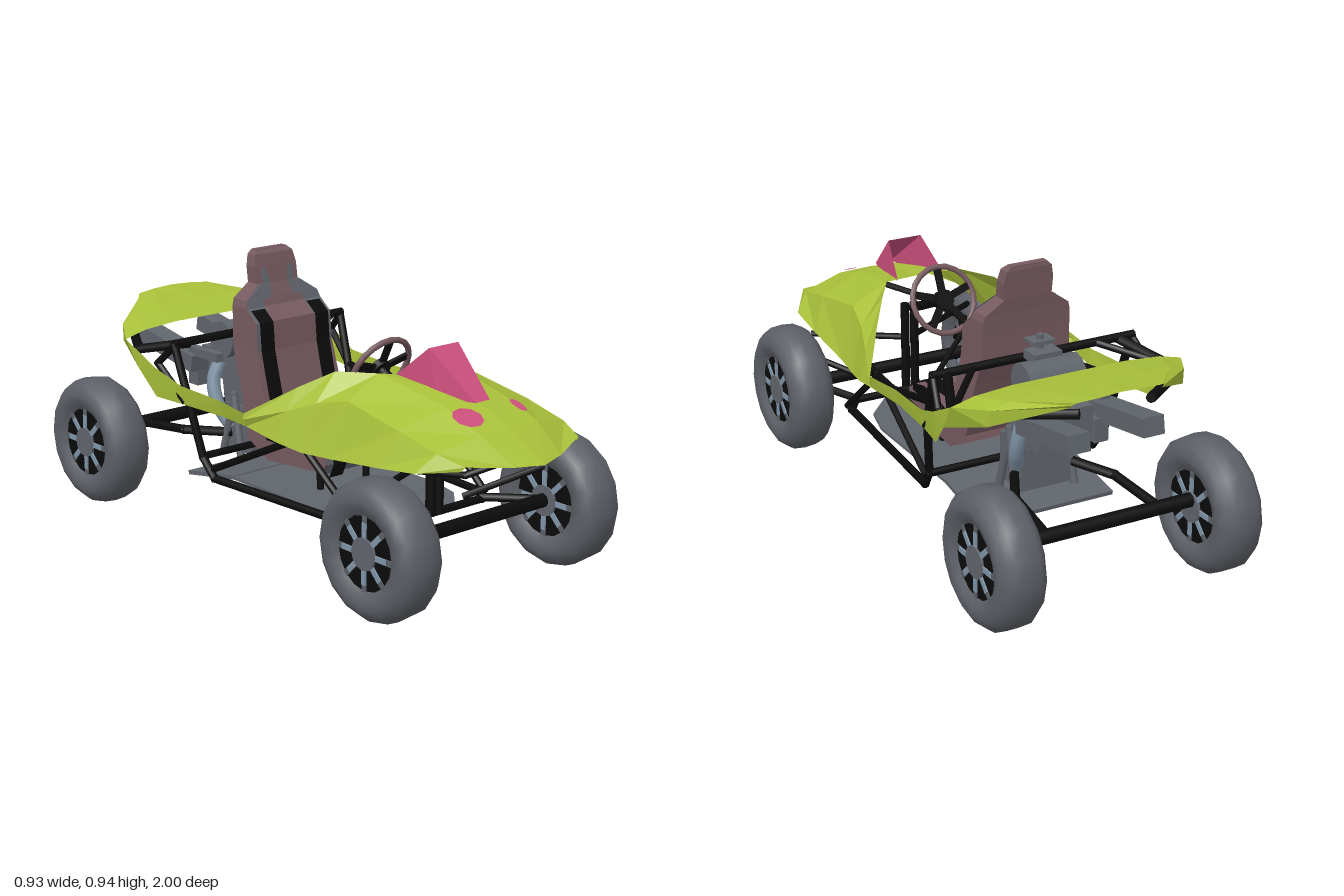
import * as THREE from 'three';

const mat = (name, color, side = THREE.FrontSide) => {
  const m = new THREE.MeshStandardMaterial({ color, side });
  m.name = name;
  return m;
};

export function createModel() {
  const lime = mat('limeBodywork', 0xa9c03a, THREE.DoubleSide);
  const pink = mat('pinkAccent', 0xcb4f7c, THREE.DoubleSide);
  const tyre = mat('tyreGrey', 0x5c5f66);
  const metal = mat('metalGrey', 0x60656c, THREE.DoubleSide);
  const black = mat('frameBlack', 0x0b0b0c, THREE.DoubleSide);
  const rose = mat('seatRose', 0x765a5f, THREE.DoubleSide);
  const steel = mat('blueSteel', 0x8095a8);

  const car = new THREE.Group();
  car.name = 'buggy';

  const add = (name, geo, material, pos = [0, 0, 0], rot = [0, 0, 0], parent = car) => {
    const m = new THREE.Mesh(geo, material);
    m.name = name;
    m.position.set(...pos);
    m.rotation.set(...rot);
    parent.add(m);
    return m;
  };
  const box = (name, size, material, pos, rot, parent) =>
    add(name, new THREE.BoxGeometry(...size), material, pos, rot, parent);

  // Faceted sheet through rows of points, with an optional mirrored twin
  const panel = (name, rows, material, mirror = true) => {
    for (const s of mirror ? [1, -1] : [1]) {
      const v = [];
      for (let i = 0; i < rows.length - 1; i++) {
        for (let j = 0; j < rows[i].length - 1; j++) {
          const [a, b, c, d] = [rows[i][j], rows[i + 1][j], rows[i + 1][j + 1], rows[i][j + 1]];
          for (const p of s > 0 ? [a, b, c, a, c, d] : [a, c, b, a, d, c]) v.push(p[0] * s, p[1], p[2]);
        }
      }
      const g = new THREE.BufferGeometry();
      g.setAttribute('position', new THREE.Float32BufferAttribute(v, 3));
      g.computeVertexNormals();
      add(name, g, material);
    }
  };

  // Straight tubes through a list of points, with an optional mirrored twin
  const tubes = (name, pts, r = 0.014, mirror = true, material = black) => {
    for (const s of mirror ? [1, -1] : [1]) {
      for (let i = 0; i < pts.length - 1; i++) {
        const [a, b] = [pts[i], pts[i + 1]].map(p => new THREE.Vector3(p[0] * s, p[1], p[2]));
        const d = b.clone().sub(a);
        const m = add(name, new THREE.CylinderGeometry(r, r, d.length() + r, 8), material);
        m.position.copy(a).add(b).multiplyScalar(0.5);
        m.quaternion.setFromUnitVectors(new THREE.Vector3(0, 1, 0), d.normalize());
      }
    }
  };

  // Front hood: centre line to lower edge, nose to cockpit
  panel('frontHood', [
    [[0, 0.48, 1], [0.1, 0.485, 0.97], [0.24, 0.5, 0.91], [0.245, 0.485, 0.9]],
    [[0, 0.56, 0.86], [0.12, 0.56, 0.85], [0.27, 0.525, 0.82], [0.32, 0.465, 0.78]],
    [[0, 0.62, 0.7], [0.12, 0.612, 0.7], [0.275, 0.56, 0.66], [0.325, 0.445, 0.62]],
    [[0, 0.645, 0.48], [0.14, 0.665, 0.42], [0.27, 0.6, 0.42], [0.325, 0.42, 0.4]],
  ], lime);
  panel('hoodSide', [
    [[0.14, 0.665, 0.42], [0.27, 0.6, 0.42], [0.325, 0.42, 0.4]],
    [[0.215, 0.66, 0.3], [0.295, 0.57, 0.3], [0.34, 0.415, 0.28]],
    [[0.285, 0.6, 0.2], [0.33, 0.53, 0.2], [0.36, 0.43, 0.18]],
    [[0.385, 0.5, 0.05], [0.388, 0.48, 0.05], [0.375, 0.455, 0.05]],
  ], lime);

  // Side band and rear cowl
  panel('sideBand', [
    [[0.385, 0.5, 0.05], [0.375, 0.455, 0.05]],
    [[0.365, 0.505, -0.1], [0.355, 0.45, -0.1]],
    [[0.375, 0.515, -0.3], [0.367, 0.45, -0.3]],
    [[0.397, 0.56, -0.42], [0.388, 0.455, -0.42]],
    [[0.41, 0.63, -0.56], [0.402, 0.54, -0.5]],
  ], lime);
  panel('rearCowl', [
    [[0, 0.66, -0.56], [0.2, 0.66, -0.56], [0.33, 0.65, -0.56], [0.41, 0.63, -0.56], [0.402, 0.54, -0.5]],
    [[0, 0.685, -0.7], [0.17, 0.685, -0.7], [0.28, 0.672, -0.69], [0.34, 0.65, -0.68], [0.345, 0.595, -0.67]],
    [[0, 0.71, -0.86], [0.08, 0.706, -0.86], [0.15, 0.7, -0.85], [0.157, 0.69, -0.84], [0.157, 0.68, -0.83]],
  ], lime);

  // Pink scoop, open at the back, and two painted spots
  panel('scoopFront', [
    [[-0.062, 0.76, 0.56], [0.062, 0.76, 0.56]],
    [[-0.03, 0.618, 0.735], [0.03, 0.618, 0.735]],
  ], pink, false);
  panel('scoopSide', [
    [[0.062, 0.76, 0.56], [0.03, 0.618, 0.735]],
    [[0.088, 0.655, 0.44], [0.065, 0.61, 0.6]],
  ], pink);
  for (const [x, r, k] of [[-0.103, 0.05, 1], [0.11, 0.036, 0.5]]) {
    const spot = add('paintSpot', new THREE.CircleGeometry(r, 9), pink, [x, 0.596, 0.778]);
    spot.quaternion.setFromUnitVectors(new THREE.Vector3(0, 0, 1),
      new THREE.Vector3(0.06 * Math.sign(x), 1, 0.36).normalize());
    spot.scale.x = k;
  }

  // Seat back lofted from rectangles: [y, front z, back z, half width]
  const back = [[0.33, -0.09, -0.2, 0.17], [0.38, -0.096, -0.22, 0.17], [0.46, -0.118, -0.235, 0.168],
    [0.54, -0.14, -0.262, 0.165], [0.62, -0.16, -0.292, 0.16], [0.715, -0.168, -0.295, 0.158],
    [0.755, -0.222, -0.298, 0.157], [0.78, -0.23, -0.3, 0.15], [0.825, -0.25, -0.305, 0.085],
    [0.88, -0.262, -0.308, 0.088], [0.92, -0.272, -0.312, 0.08], [0.934, -0.285, -0.31, 0.065]];
  panel('seatBack', back.map(([y, f, b, w]) =>
    [[-w, y, b], [-w, y, f], [w, y, f], [w, y, b], [-w, y, b]]), rose, false);
  box('headrestTop', [0.13, 0.004, 0.026], rose, [0, 0.933, -0.2975]);

  // Seat cushion, extruded across the car from its side profile
  const side = new THREE.Shape([[0.2, 0.32], [0.19, 0.37], [0.14, 0.4], [0, 0.4], [-0.1, 0.385], [-0.2, 0.37],
    [-0.21, 0.32], [-0.1, 0.265], [0.1, 0.28], [0.18, 0.29]].map(p => new THREE.Vector2(...p)));
  add('seatCushion', new THREE.ExtrudeGeometry(side, { depth: 0.34, bevelEnabled: false }),
    rose, [0.17, 0, 0], [0, -Math.PI / 2, 0]);
  panel('cushionLip', [
    [[-0.17, 0.365, 0.198], [0.17, 0.365, 0.198]],
    [[-0.17, 0.32, 0.206], [0.17, 0.32, 0.206]],
    [[-0.17, 0.285, 0.19], [0.17, 0.285, 0.19]],
  ], metal, false);
  panel('cushionBolster', [
    [[0.174, 0.395, 0.16], [0.174, 0.37, 0.16]],
    [[0.174, 0.413, 0.08], [0.174, 0.355, 0.06]],
    [[0.174, 0.405, -0.02], [0.174, 0.335, -0.02]],
    [[0.174, 0.38, -0.1], [0.174, 0.335, -0.1]],
  ], black);

  // Seat stripes, shoulder patches and harness openings
  panel('seatStripe', [[0.75, -0.209], [0.715, -0.163], [0.62, -0.155], [0.54, -0.135], [0.46, -0.113],
    [0.41, -0.095], [0.407, 0], [0.407, 0.14], [0.375, 0.203], [0.32, 0.213], [0.27, 0.19]].map(([y, z]) =>
    [[0.09, y, z], [0.147, y, z]]), black);
  panel('shoulderPatch', [
    [[0.07, 0.83, -0.245], [0.086, 0.825, -0.245]],
    [[0.08, 0.78, -0.226], [0.151, 0.78, -0.226]],
    [[0.085, 0.755, -0.217], [0.157, 0.755, -0.217]],
    [[0.09, 0.715, -0.166], [0.158, 0.715, -0.166]],
    [[0.095, 0.62, -0.158], [0.16, 0.62, -0.158]],
  ], metal);
  panel('harnessOpening', [
    [[0.048, 0.88, -0.258], [0.066, 0.875, -0.258]],
    [[0.036, 0.825, -0.245], [0.066, 0.825, -0.245]],
    [[0.05, 0.78, -0.226], [0.082, 0.78, -0.226]],
  ], metal);
  tubes('seatPost', [[0.1, 0.28, 0.09], [0.1, 0.2, 0.09]], 0.012);

  // Floor pan
  const plan = new THREE.Shape([[-0.24, -0.2], [0.24, -0.2], [0.24, 0.28], [0.21, 0.4], [0.12, 0.5],
    [-0.12, 0.5], [-0.21, 0.4], [-0.24, 0.28]].map(p => new THREE.Vector2(...p)));
  add('floorPan', new THREE.ExtrudeGeometry(plan, { depth: 0.01, bevelEnabled: false }),
    metal, [0, 0.197, 0], [Math.PI / 2, 0, 0]);
  box('floorTail', [0.48, 0.014, 0.26], metal, [0, 0.172, -0.322], [-0.17, 0, 0]);

  // Tubular frame
  tubes('lowerRail', [[0.22, 0.205, 0.52], [0.27, 0.205, 0.45], [0.315, 0.205, -0.2], [0.325, 0.27, -0.25],
    [0.35, 0.46, -0.29], [0.36, 0.64, -0.35]], 0.014);
  tubes('cockpitRail', [[0.27, 0.21, 0.48], [0.285, 0.43, 0.2], [0.315, 0.24, -0.2]], 0.012);
  tubes('upperRail', [[0.285, 0.43, 0.2], [0.35, 0.47, -0.28]], 0.012);
  tubes('cowlSupport', [[0.31, 0.64, -0.35], [0.385, 0.6, -0.52], [0.3, 0.63, -0.68], [0.13, 0.65, -0.82]], 0.016);
  tubes('hoopBrace', [[0.22, 0.645, -0.35], [0.37, 0.6, -0.51]], 0.012);
  tubes('hoopUpright', [[0.36, 0.64, -0.35], [0.38, 0.57, -0.42], [0.36, 0.46, -0.3]], 0.012);
  tubes('hoopTopBar', [[-0.36, 0.645, -0.35], [0.36, 0.645, -0.35]], 0.015, false);
  tubes('rearCrossbar', [[-0.32, 0.27, -0.26], [0.32, 0.27, -0.26]], 0.013, false);
  tubes('frontCrossbar', [[-0.22, 0.205, 0.52], [0.22, 0.205, 0.52]], 0.014, false);
  tubes('cockpitCrossTube', [[0.17, 0.36, 0.08], [0.35, 0.46, 0.08]], 0.012);
  tubes('noseFrame', [[0.08, 0.47, 0.88], [0.16, 0.44, 0.83], [0.22, 0.42, 0.62], [0.285, 0.43, 0.2]], 0.011);
  tubes('centreStrut', [[0.018, 0.21, 0.53], [0.018, 0.52, 0.53]], 0.016);

  // Suspension and axles
  tubes('frontAxle', [[-0.33, 0.225, 0.7], [0.33, 0.225, 0.7]], 0.024, false);
  tubes('frontUpperArm', [[0.02, 0.4, 0.54], [0.31, 0.418, 0.68]], 0.011);
  tubes('frontTrailingArm', [[0.22, 0.21, 0.52], [0.31, 0.225, 0.68]], 0.014);
  tubes('frontDiagonalArm', [[0.12, 0.24, 0.54], [0.32, 0.335, 0.69]], 0.011);
  tubes('rearAxle', [[-0.33, 0.25, -0.78], [0.33, 0.25, -0.78]], 0.024, false);
  tubes('rearTrailingArm', [[0.1, 0.28, -0.4], [0.18, 0.27, -0.55], [0.2, 0.25, -0.78]], 0.016);

  // Engine, its pipes and the twin exhaust boxes
  box('engineBlock', [0.18, 0.16, 0.14], metal, [0, 0.3, -0.36]);
  box('engineBody', [0.15, 0.22, 0.14], metal, [0, 0.48, -0.4], [-0.15, 0, 0]);
  add('engineHead', new THREE.CylinderGeometry(0.065, 0.065, 0.2, 12), metal, [0, 0.6, -0.44], [0, 0, Math.PI / 2]);
  box('airIntake', [0.1, 0.03, 0.07], metal, [0, 0.665, -0.4]);
  tubes('fillerPost', [[0, 0.66, -0.38], [0, 0.72, -0.38]], 0.012, false, metal);
  box('fillerCap', [0.08, 0.012, 0.06], metal, [0, 0.705, -0.38]);
  box('engineTail', [0.14, 0.1, 0.14], metal, [0, 0.5, -0.52]);
  for (const s of [1, -1]) {
    box('exhaustBox', [0.075, 0.06, 0.32], metal, [s * 0.13, 0.535, -0.68], [0.17, 0, 0]);
    box('exhaustBracket', [0.05, 0.08, 0.05], metal, [s * 0.1, 0.46, -0.57]);
    box('engineSideRail', [0.03, 0.03, 0.16], metal, [s * 0.135, 0.55, -0.48]);
    const pipe = new THREE.CatmullRomCurve3([[0.09, 0.52, -0.46], [0.115, 0.46, -0.465], [0.115, 0.37, -0.44],
      [0.09, 0.3, -0.4]].map(p => new THREE.Vector3(p[0] * s, p[1], p[2])));
    add('enginePipe', new THREE.TubeGeometry(pipe, 12, 0.024, 8), steel);
  }
  tubes('engineMount', [[0.11, 0.2, -0.32], [0.1, 0.42, -0.37], [0.11, 0.21, -0.42]], 0.014, true, metal);

  // Steering wheel and column
  const steering = new THREE.Group();
  steering.name = 'steeringWheel';
  steering.position.set(0, 0.625, 0.268);
  steering.rotation.x = 0.45;
  car.add(steering);
  add('steeringRim', new THREE.TorusGeometry(0.115, 0.01, 8, 20), rose, [0, 0, 0], [0, 0, 0], steering);
  for (let i = 0; i < 5; i++) {
    const a = Math.PI / 2 + i * Math.PI * 0.4;
    box('steeringSpoke', [0.1, 0.025, 0.01], black, [Math.cos(a) * 0.055, Math.sin(a) * 0.055, 0], [0, 0, a], steering);
  }
  add('steeringHub', new THREE.CylinderGeometry(0.035, 0.035, 0.025, 10), black, [0, 0, 0], [Math.PI / 2, 0, 0], steering);
  tubes('steeringColumn', [[0, 0.625, 0.268], [0, 0.52, 0.5]], 0.016, false);

  // Wheels
  const profile = [[0.112, -0.055], [0.14, -0.076], [0.172, -0.081], [0.2, -0.066], [0.219, -0.042], [0.223, 0],
    [0.219, 0.042], [0.2, 0.066], [0.172, 0.081], [0.14, 0.076], [0.112, 0.055]].map(p => new THREE.Vector2(...p));
  const tyreGeo = new THREE.LatheGeometry(profile, 16);
  for (const s of [1, -1]) {
    for (const [name, z] of [['frontWheel', 0.7], ['rearWheel', -0.777]]) {
      const wheel = new THREE.Group();
      wheel.name = name;
      wheel.position.set(s * 0.382, 0.223, z);
      wheel.rotation.z = -s * Math.PI / 2;
      car.add(wheel);
      add('tyre', tyreGeo, tyre, [0, 0, 0], [0, 0, 0], wheel);
      add('rim', new THREE.CylinderGeometry(0.118, 0.118, 0.12, 16), black, [0, 0, 0], [0, 0, 0], wheel);
      add('hub', new THREE.CylinderGeometry(0.052, 0.052, 0.136, 12), metal, [0, 0, 0], [0, 0, 0], wheel);
      for (let i = 0; i < 8; i++) {
        const a = i * Math.PI / 4;
        const at = r => [Math.cos(a) * r, 0, -Math.sin(a) * r];
        box('spoke', [0.05, 0.13, 0.018], steel, at(0.073), [0, a, 0], wheel);
        box('rimNotch', [0.022, 0.126, 0.02], tyre, at(0.108), [0, a, 0], wheel);
      }
    }
  }
  return car;
}
